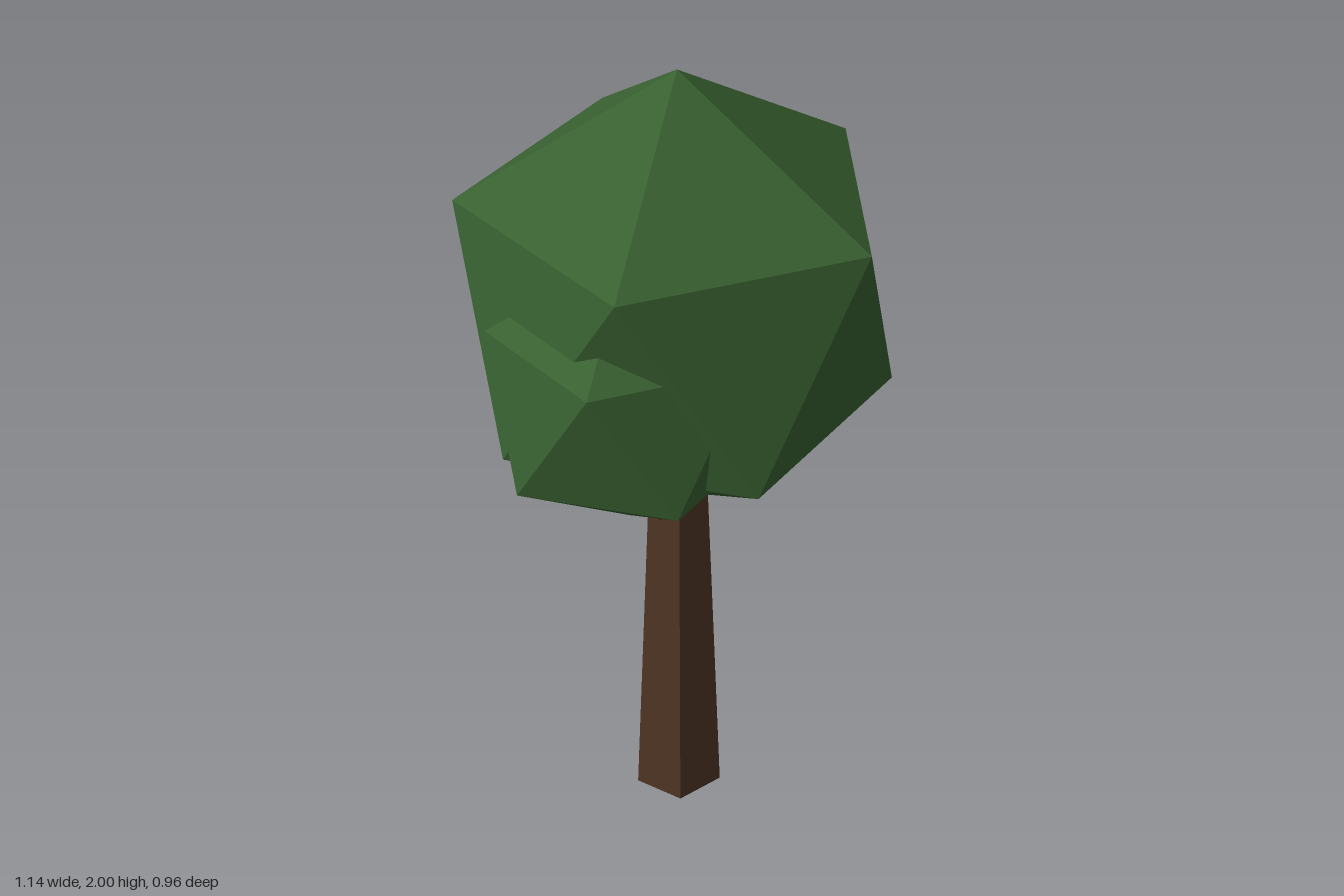
import * as THREE from 'three';

const AXIS_X = -0.025; // trunk centre line

export function createModel() {
  const tree = new THREE.Group();
  tree.name = 'tree';

  const material = (name, color) => {
    const m = new THREE.MeshStandardMaterial({ color, flatShading: true });
    m.name = name;
    return m;
  };
  const bark = material('bark brown', 0x4f3524);
  const darkLeaf = material('dark leaf green', 0x386030);
  const lightLeaf = material('light leaf green', 0x557d37);

  const add = (name, geometry, mat) => {
    const mesh = new THREE.Mesh(geometry, mat);
    mesh.name = name;
    tree.add(mesh);
    return mesh;
  };

  // Five-sided tapered trunk, flat side to the front
  const trunk = new THREE.CylinderGeometry(0.07, 0.11, 1, 5);
  trunk.rotateY(Math.PI);
  add('trunk', trunk, bark).position.set(AXIS_X, 0.5, 0);

  // Branches reaching from the trunk into the side crowns
  const branch = (name, from, to) => {
    const a = new THREE.Vector3(...from);
    const b = new THREE.Vector3(...to);
    const dir = b.clone().sub(a);
    const mesh = add(name, new THREE.CylinderGeometry(0.02, 0.03, dir.length(), 5), bark);
    mesh.position.copy(a).add(b).multiplyScalar(0.5);
    mesh.quaternion.setFromUnitVectors(new THREE.Vector3(0, 1, 0), dir.normalize());
  };
  branch('leftBranch', [0.022, 0.85, 0.005], [0.19, 1.09, -0.035]);
  branch('rightBranch', [-0.072, 0.85, 0.01], [-0.23, 1.09, 0.06]);

  // Crowns: icosahedra standing on one corner, an upper corner towards +x
  const tilt = -Math.atan(2 / (1 + Math.sqrt(5)));
  const crown = (name, radius, position, mat) => {
    const geometry = new THREE.IcosahedronGeometry(radius, 0);
    geometry.rotateZ(tilt);
    add(name, geometry, mat).position.set(...position);
  };
  crown('mainCrown', 0.563, [AXIS_X, 1.437, 0], darkLeaf);
  crown('rightCrown', 0.353, [-0.255, 1.323, 0.11], darkLeaf);
  crown('leftCrown', 0.374, [0.235, 1.288, -0.06], lightLeaf);

  return tree;
}
